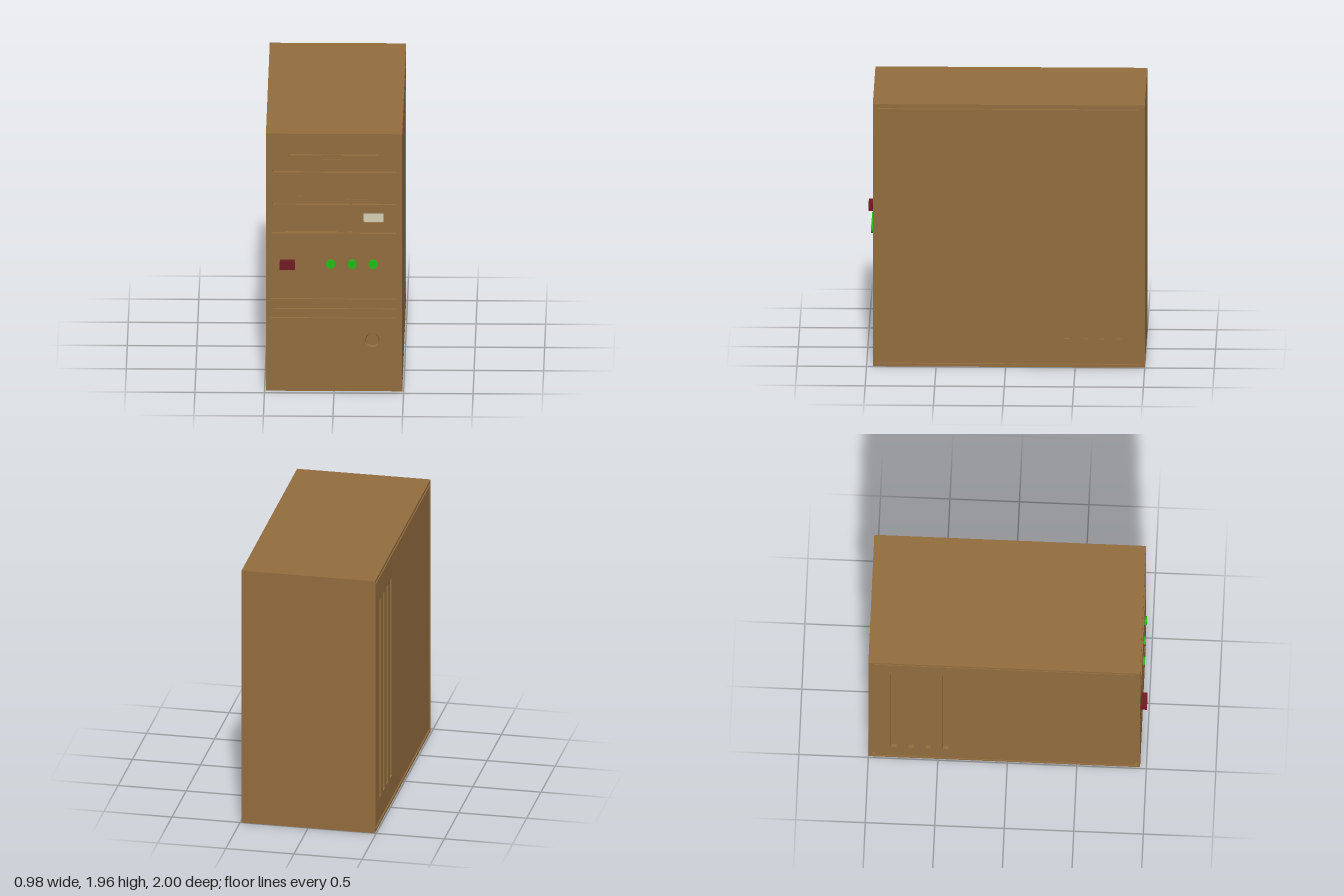
import * as THREE from 'three';

const paint = (color) => new THREE.MeshStandardMaterial({ color, side: THREE.DoubleSide });

// Closed outline from a flat list of x, y pairs
function outline(Type, c) {
  const pts = [];
  for (let i = 0; i < c.length; i += 2) pts.push(new THREE.Vector2(c[i], c[i + 1]));
  return new Type(pts);
}
const rect = (x0, x1, y0, y1, Type = THREE.Path) => outline(Type, [x0, y0, x1, y0, x1, y1, x0, y1]);
const circle = (x, y, r) => new THREE.Path().absarc(x, y, r, 0, Math.PI * 2);

// Rectangle with slightly cut corners
function softRect(x0, x1, y0, y1, c = 0.006) {
  return outline(THREE.Path, [x0 + c, y0, x1 - c, y0, x1, y0 + c, x1, y1 - c,
    x1 - c, y1, x0 + c, y1, x0, y1 - c, x0, y0 + c]);
}

export function createModel() {
  const model = new THREE.Group();
  const brown = paint(0x926c3e), red = paint(0x6e1c22);
  const green = paint(0x1fba14), cream = paint(0xd4ccb4);

  function add(name, geometry, material = brown, parent = model) {
    const mesh = new THREE.Mesh(geometry, material);
    mesh.name = name;
    parent.add(mesh);
    return mesh;
  }
  function block(name, x0, x1, y0, y1, z0, z1, material = brown) {
    const m = add(name, new THREE.BoxGeometry(x1 - x0, y1 - y0, z1 - z0), material);
    m.position.set((x0 + x1) / 2, (y0 + y1) / 2, (z0 + z1) / 2);
    return m;
  }
  // Plate facing +z between two depths, with optional holes
  function plate(name, shape, holes, z0, z1, parent = model) {
    shape.holes.push(...holes);
    const g = new THREE.ExtrudeGeometry(shape, { depth: z1 - z0, bevelEnabled: false, curveSegments: 16 });
    const m = add(name, g, brown, parent);
    m.position.z = z0;
    return m;
  }

  const H = 1.96, FRONT = 0.955, MID = 0.915, DRIVE = 0.93, CORE = 0.9;

  // Case core, with a backing that sets the depth of the lower front grooves
  block('caseCore', -0.465, 0.465, 0, H, -1, CORE);
  block('grooveBacking', -0.463, 0.463, 0.2, 1.1, CORE, 0.937);

  // Front panel: drive opening, three grooves and a round recess
  const grooves = [0.555, 0.625, 0.7].map((y) => softRect(-0.46, 0.455, y, y + 0.02, 0.005));
  plate('frontPanel', rect(-0.465, 0.465, 0, H, THREE.Shape),
    [rect(-0.445, 0.445, 1.2, 1.92), circle(0.275, 0.388, 0.052), ...grooves], CORE, FRONT);
  const dish = add('roundRecess', new THREE.CylinderGeometry(0.052, 0.045, 0.018, 32, 1, true));
  dish.rotation.x = Math.PI / 2;
  dish.position.set(0.275, 0.388, 0.946);

  // Top drive: long slot with a finger recess
  const slot = [-0.315, 0.315, 1.785, 1.797];
  plate('floppyDriveBack', rect(-0.445, 0.445, 1.675, 1.92, THREE.Shape), [rect(...slot)], CORE, MID);
  plate('floppyDriveFace', rect(-0.445, 0.445, 1.675, 1.92, THREE.Shape), [outline(THREE.Path, [
    -0.315, 1.785, -0.09, 1.785, -0.09, 1.755, 0.055, 1.755, 0.055, 1.785, 0.315, 1.785,
    0.315, 1.797, 0.055, 1.797, 0.055, 1.83, -0.09, 1.83, -0.09, 1.797, -0.315, 1.797])], MID, DRIVE);

  // Middle drive: sunken tray with a jack and a button recess
  plate('discDriveBack', rect(-0.445, 0.445, 1.425, 1.655, THREE.Shape),
    [circle(-0.243, 1.49, 0.022), softRect(0.08, 0.245, 1.447, 1.52, 0.004)], CORE, MID);
  plate('discDriveFace', outline(THREE.Shape, [-0.445, 1.425, -0.29, 1.425, -0.29, 1.565,
    0.285, 1.565, 0.285, 1.425, 0.445, 1.425, 0.445, 1.655, -0.445, 1.655]), [], MID, DRIVE);

  // Bottom bays: notched cover and display surround
  plate('lowerBayCover', outline(THREE.Shape, [-0.445, 1.2, -0.35, 1.2, -0.35, 1.31,
    0.02, 1.31, 0.02, 1.2, 0.11, 1.2, 0.11, 1.41, -0.445, 1.41]), [], CORE, DRIVE);
  plate('displaySurround', rect(0.125, 0.445, 1.2, 1.41, THREE.Shape),
    [rect(0.21, 0.355, 1.275, 1.345)], CORE, DRIVE);
  block('display', 0.21, 0.355, 1.275, 1.345, CORE, 0.908, cream);

  // Power button and indicator lights
  block('powerButton', -0.39, -0.28, 0.937, 1, 0.94, 1, red);
  for (const x of [-0.025, 0.13, 0.28]) {
    const lamp = add('indicatorLight', new THREE.CylinderGeometry(0.033, 0.033, 0.03, 24), green);
    lamp.rotation.x = Math.PI / 2;
    lamp.position.set(x, 0.97, 0.955);
  }

  // Side panels: rim, groove and vented inner panel (drawn with x = -z, then turned)
  for (const side of [1, -1]) {
    const group = new THREE.Group();
    group.name = side > 0 ? 'leftSide' : 'rightSide';
    const span = (a, b) => [Math.min(a * side, b * side), Math.max(a * side, b * side)];
    const vents = [0.417, 0.545, 0.668, 0.791].map((z) => softRect(...span(z, z + 0.048), 0.21, 1.75));
    plate('sideRim', rect(...span(-FRONT, 1), 0, H, THREE.Shape),
      [rect(...span(-0.936, 0.97), 0.02, 1.938)], 0, 0.025, group);
    plate('sidePanel', rect(...span(-0.917, 0.956), 0.038, 1.923, THREE.Shape), vents, 0, 0.025, group);
    group.rotation.y = side * Math.PI / 2;
    group.position.x = side * 0.465;
    model.add(group);
  }
  return model;
}
